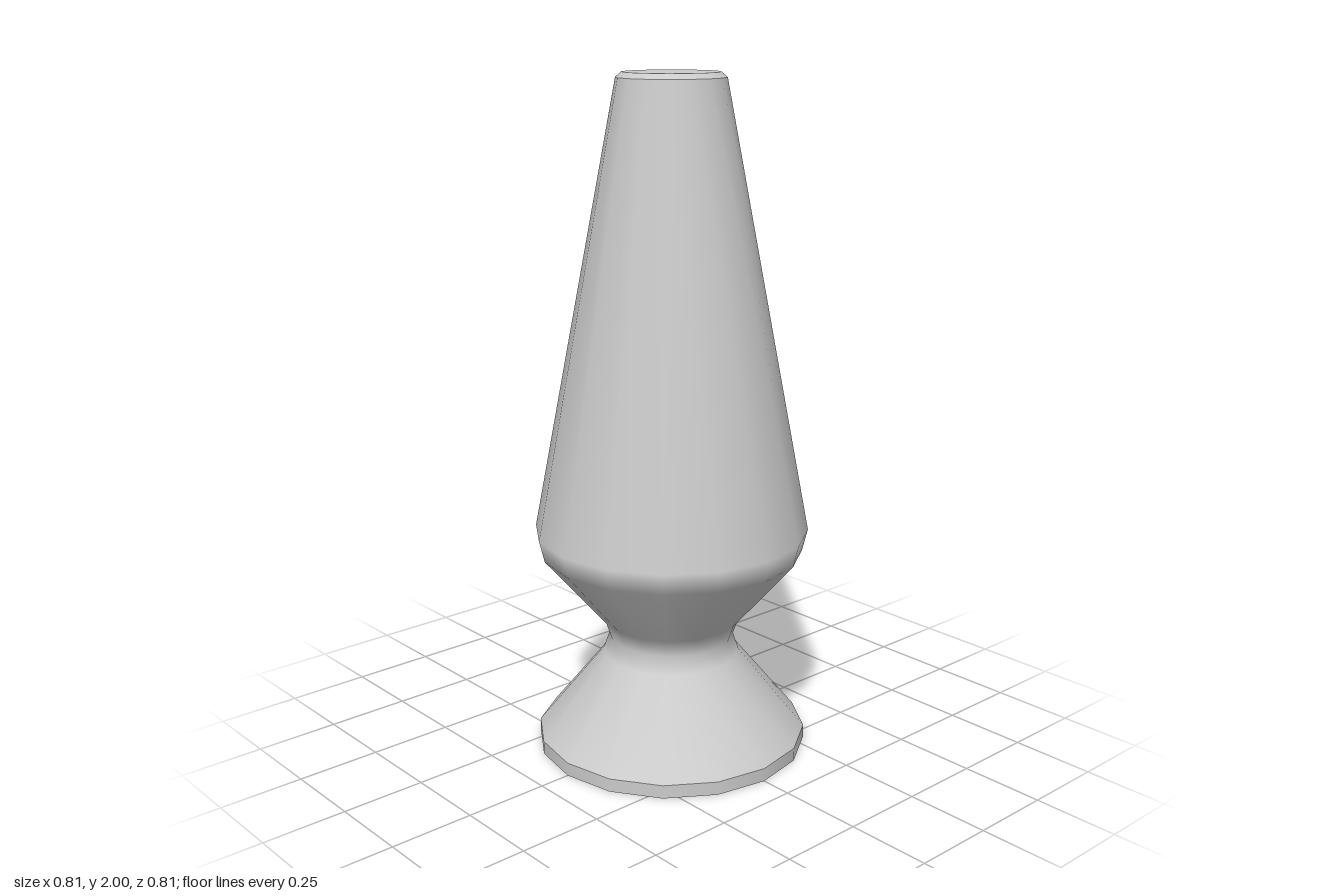
import * as THREE from 'three';

const SIDES = 16;

export function createModel() {
  const model = new THREE.Group();
  const material = new THREE.MeshStandardMaterial({ color: 0xcccccc });

  // Turn one smooth profile section (listed bottom to top); sections meet at sharp edges
  const turn = (name, profile) => {
    const points = profile.map(([r, y]) => new THREE.Vector2(r, y));
    const mesh = new THREE.Mesh(new THREE.LatheGeometry(points, SIDES), material);
    mesh.name = name;
    model.add(mesh);
  };

  // Flat disc closing an end, facing up or down
  const cap = (name, radius, y, up) => {
    const geometry = new THREE.CircleGeometry(radius, SIDES);
    geometry.rotateX(up ? -Math.PI / 2 : Math.PI / 2);
    const mesh = new THREE.Mesh(geometry, material);
    mesh.position.y = y;
    mesh.name = name;
    model.add(mesh);
  };

  cap('baseUnderside', 0.406, 0, false);
  turn('baseRim', [[0.406, 0], [0.406, 0.04]]);

  // Flared foot, pinched waist, rounded shoulder and long tapering body
  turn('body', [
    [0.406, 0.04], [0.205, 0.287], [0.187, 0.34], [0.205, 0.393],
    [0.39, 0.61], [0.406, 0.675], [0.156, 1.985],
  ]);

  turn('topBevel', [[0.156, 1.985], [0.139, 2]]);
  cap('topCap', 0.139, 2, true);

  return model;
}
